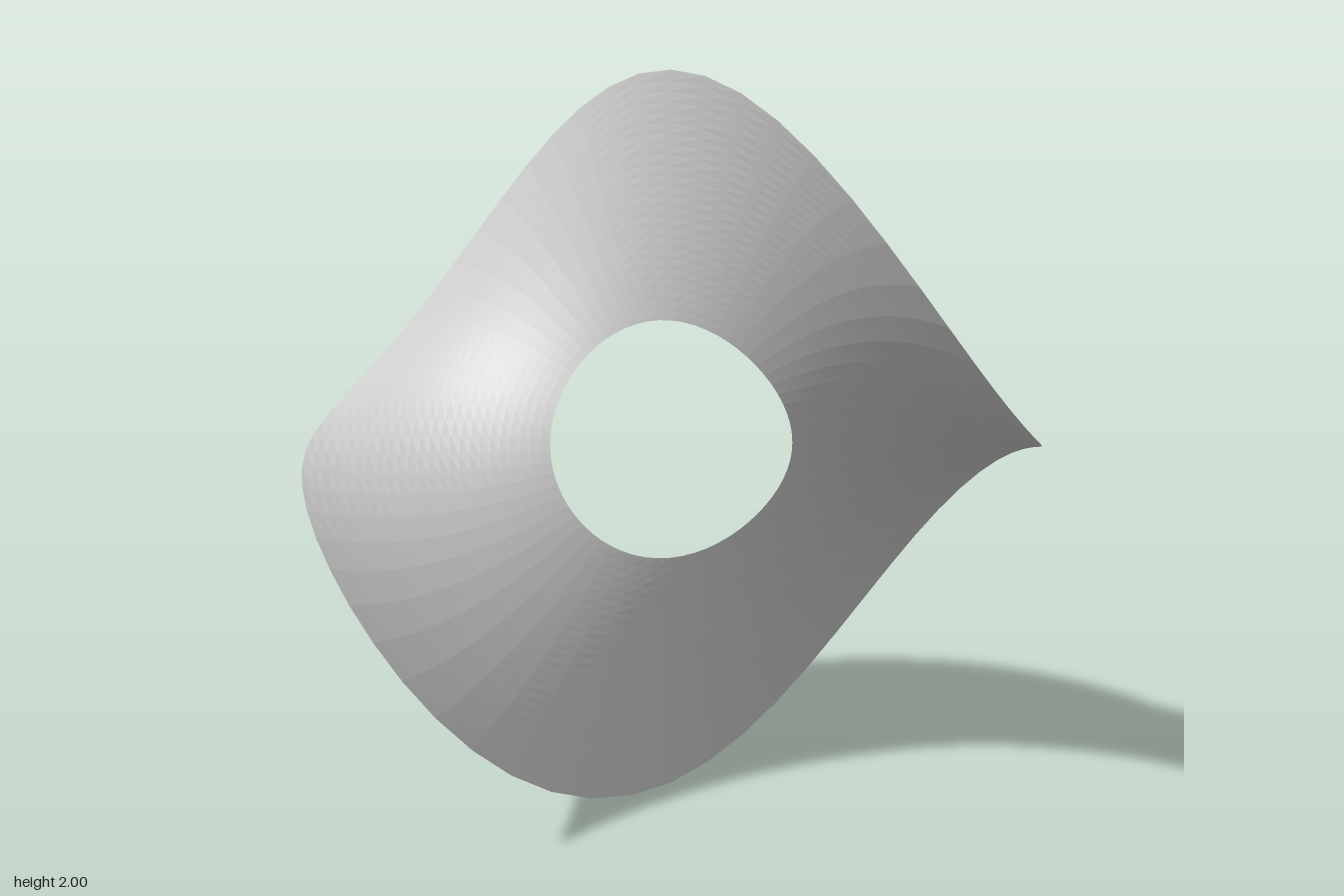
import * as THREE from 'three';

const INNER = 1 / 3;   // radius of the hole
const OUTER = 1;       // radius of the rim
const TWIST = 1.35;    // radians of turn per unit of x

// Flat ring, twisted about the x axis into a piece of a helicoid
function twistedRing() {
  const geometry = new THREE.RingGeometry(INNER, OUTER, 64, 24);
  const p = geometry.attributes.position;
  for (let i = 0; i < p.count; i++) {
    const x = p.getX(i), y = p.getY(i);
    p.setXYZ(i, x, y * Math.cos(TWIST * x), y * Math.sin(TWIST * x));
  }
  geometry.computeVertexNormals();
  return geometry;
}

export function createModel() {
  const group = new THREE.Group();
  group.name = 'twistedRingModel';

  const material = new THREE.MeshStandardMaterial({
    color: 0xcccccc,
    flatShading: true,
    side: THREE.DoubleSide,
  });
  const ring = new THREE.Mesh(twistedRing(), material);
  ring.name = 'twistedRing';
  ring.position.y = OUTER;
  group.add(ring);

  return group;
}
